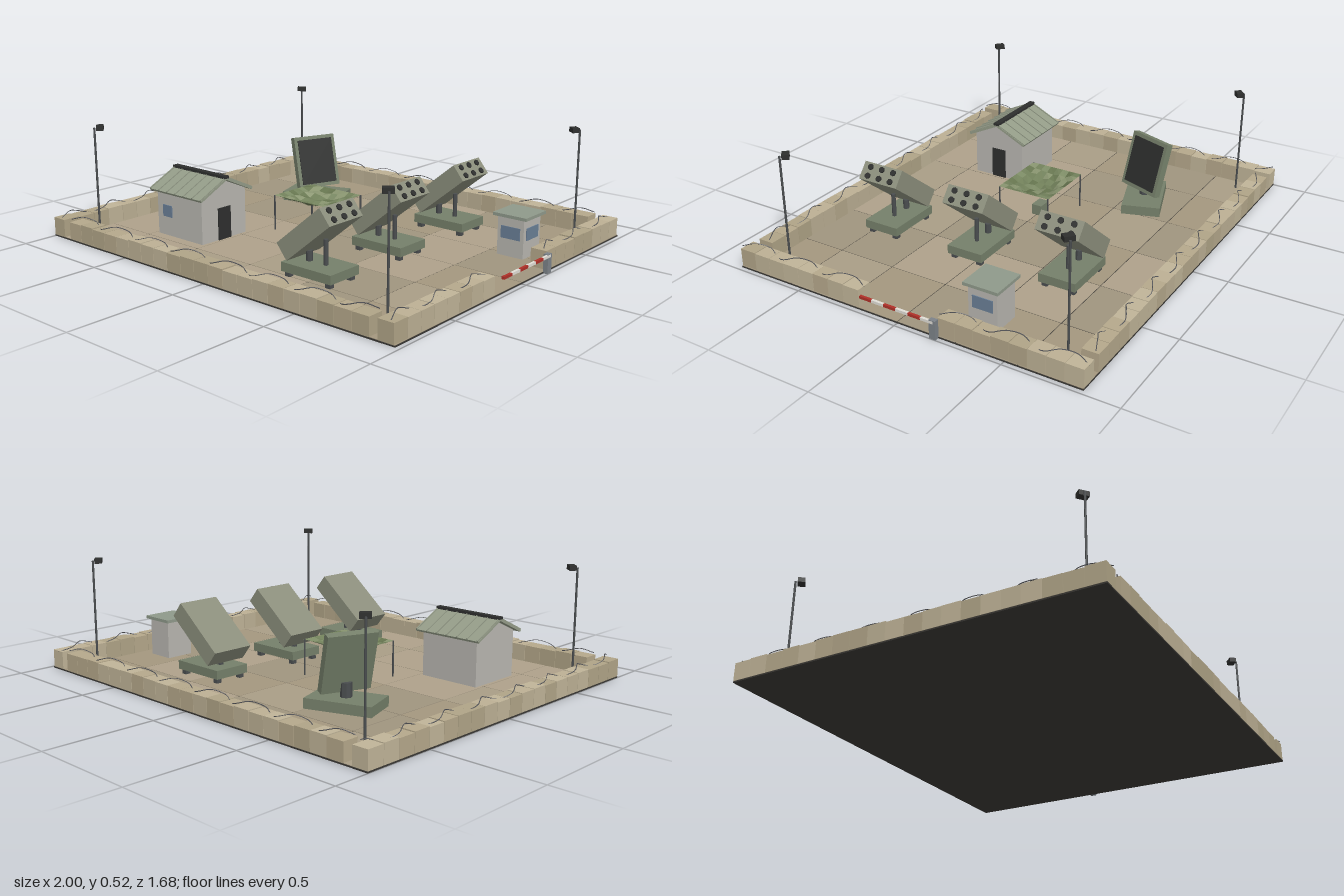
import * as THREE from 'three';

const mat = (color, extra = {}) => new THREE.MeshStandardMaterial({ color, flatShading: true, ...extra });
const M = {
  slab: mat(0x3a3834), green: mat(0x75806a), launcher: mat(0x8b8e7c), dark: mat(0x2e2f2e),
  wall: mat(0xb8b6b0), roof: mat(0x949c88), booth: mat(0x8f998a), glass: mat(0x6a7f96),
  metal: mat(0x4a4d4f), post: mat(0x7c8288), red: mat(0xb03028), white: mat(0xe0ddd6), wire: mat(0x55565a),
};
const tiles = [0xa99d86, 0xa4977f, 0xaea18a, 0xa0957f].map((c) => mat(c));
const sand = [0xbcb094, 0xb5a88b, 0xc0b498, 0xb0a487].map((c) => mat(c));
const camo = [0x71805a, 0x7d8c66, 0x66754f, 0x88946f].map((c) => mat(c, { side: THREE.DoubleSide }));

let seed = 7;
const rnd = () => (seed = (seed * 16807) % 2147483647) / 2147483647;
const pick = (list) => list[Math.floor(rnd() * list.length)];

function add(parent, name, geometry, material, x = 0, y = 0, z = 0) {
  const mesh = new THREE.Mesh(geometry, material);
  mesh.name = name;
  mesh.position.set(x, y, z);
  parent.add(mesh);
  return mesh;
}
const box = (p, name, w, h, d, m, x, y, z) => add(p, name, new THREE.BoxGeometry(w, h, d), m, x, y, z);
const rod = (p, name, r, h, m, x, y, z) => add(p, name, new THREE.CylinderGeometry(r, r, h, 8), m, x, y, z);
function group(parent, name, x = 0, y = 0, z = 0) {
  const g = new THREE.Group();
  g.name = name;
  g.position.set(x, y, z);
  parent.add(g);
  return g;
}

// Dark slab with a 6 x 6 grid of paving tiles
function ground(root) {
  const g = group(root, 'ground', -0.01);
  box(g, 'slab', 1.98, 0.006, 1.68, M.slab, 0, 0.003, 0);
  for (let i = 0; i < 6; i++) for (let j = 0; j < 6; j++) {
    box(g, 'pavingTile', 0.326, 0.007, 0.276, pick(tiles), (i - 2.5) * 0.33, 0.0045, (j - 2.5) * 0.28);
  }
}

// Row of filled barrier blocks with coiled wire on top; built along x, then turned
function wallRow(root, name, length, count, x, z, turn) {
  const g = group(root, name, x, 0, z);
  g.rotation.y = turn;
  const pitch = length / count;
  for (let i = 0; i < count; i++) {
    const h = 0.078 + rnd() * 0.006;
    box(g, 'barrierBlock', pitch * 0.975, h, 0.074, pick(sand), (i + 0.5) * pitch - length / 2, 0.007 + h / 2, 0);
  }
  const steps = Math.round(length / 0.058);
  const points = [];
  for (let i = 0; i <= steps; i++) {
    const a = i * Math.PI / 2;
    points.push(new THREE.Vector3((i / steps - 0.5) * length, 0.098 + 0.015 * Math.sin(a), 0.024 * Math.cos(a)));
  }
  add(g, 'wireCoil', new THREE.TubeGeometry(new THREE.CatmullRomCurve3(points), steps * 4, 0.002, 4), M.wire);
}

// Tilted box launcher on a footed base
function launcher(root, z) {
  const g = group(root, 'launcher', 0.322, 0, z);
  box(g, 'launcherBase', 0.27, 0.04, 0.175, M.green, 0, 0.05, 0);
  for (const sx of [-1, 1]) for (const sz of [-1, 1]) {
    box(g, 'foot', 0.025, 0.028, 0.025, M.metal, sx * 0.11, 0.019, sz * 0.065);
  }
  rod(g, 'supportPost', 0.01, 0.12, M.metal, 0.035, 0.12, 0);
  rod(g, 'rearHinge', 0.014, 0.05, M.metal, -0.055, 0.09, 0);
  const pod = group(g, 'launchPod', 0, 0.215, 0);
  pod.rotation.z = 0.685;
  box(pod, 'podBox', 0.3, 0.085, 0.205, M.launcher);
  for (const y of [-0.021, 0.021]) for (const zz of [-0.062, 0, 0.062]) {
    rod(pod, 'tubeCap', 0.014, 0.008, M.dark, 0.152, y, zz).rotation.z = Math.PI / 2;
  }
}

// Radar with its panel leaning back over a turned base
function radar(root) {
  const g = group(root, 'radar', -0.465, 0, -0.38);
  box(g, 'radarBase', 0.3, 0.045, 0.18, M.green, 0, 0.04, 0).rotation.y = 0.33;
  rod(g, 'radarPost', 0.025, 0.07, M.metal, 0, 0.09, 0);
  const turn = group(g, 'radarHead', -0.01, 0.212, 0);
  turn.rotation.y = -0.36;
  const panel = group(turn, 'radarPanel');
  panel.rotation.z = 0.27;
  box(panel, 'panelFrame', 0.035, 0.26, 0.225, M.green);
  box(panel, 'panelFace', 0.006, 0.225, 0.19, M.dark, 0.018, 0, 0);
}

// Gabled hut
function hut(root) {
  const g = group(root, 'hut', -0.505, 0, 0.377);
  const s = new THREE.Shape();
  s.moveTo(-0.135, 0.005).lineTo(0.135, 0.005).lineTo(0.135, 0.222).lineTo(0, 0.283).lineTo(-0.135, 0.222);
  const body = new THREE.ExtrudeGeometry(s, { depth: 0.295, bevelEnabled: false });
  body.translate(0, 0, -0.1475).rotateY(Math.PI / 2);
  add(g, 'hutBody', body, M.wall);
  const slope = Math.atan2(0.075, 0.157);
  for (const side of [-1, 1]) {
    const r = group(g, 'roofSlope', 0, 0.2545, side * 0.079);
    r.rotation.x = side * slope;
    box(r, 'roofSheet', 0.345, 0.01, 0.174, M.roof);
    for (let i = 0; i <= 6; i++) box(r, 'roofSeam', 0.005, 0.006, 0.174, M.roof, (i - 3) * 0.056, 0.007, 0);
  }
  box(g, 'roofRidge', 0.347, 0.012, 0.028, M.dark, 0, 0.299, 0);
  box(g, 'hutDoor', 0.008, 0.15, 0.075, M.dark, 0.149, 0.082, 0);
  box(g, 'hutWindow', 0.06, 0.055, 0.008, M.glass, -0.08, 0.125, 0.135);
}

// Guard booth by the gate
function booth(root) {
  const g = group(root, 'guardBooth', 0.77, 0, -0.312);
  box(g, 'boothBody', 0.13, 0.18, 0.135, M.wall, 0, 0.095, 0);
  box(g, 'boothRoof', 0.166, 0.014, 0.164, M.booth, 0, 0.191, 0);
  box(g, 'boothWindow', 0.095, 0.055, 0.006, M.glass, 0, 0.115, 0.068);
  box(g, 'boothWindow', 0.006, 0.055, 0.095, M.glass, 0.066, 0.115, 0);
}

// Sagging patchwork net on four poles above a crate
function shelter(root) {
  const g = group(root, 'netShelter', -0.125, 0, -0.002);
  const n = 8, w = 0.31, d = 0.265;
  const height = (u, v) => 0.174 - 0.042 * Math.sin(Math.PI * u) * Math.sin(Math.PI * v)
    + (u % 1 && v % 1 ? 0.006 * Math.sin(u * 37 + v * 23) : 0);
  for (let i = 0; i < n; i++) for (let j = 0; j < n; j++) {
    const patch = new THREE.PlaneGeometry(w / n, d / n).rotateX(-Math.PI / 2);
    patch.translate((i + 0.5) * w / n - w / 2, 0, (j + 0.5) * d / n - d / 2);
    const p = patch.attributes.position;
    for (let k = 0; k < p.count; k++) {
      const u = Math.round((p.getX(k) / w + 0.5) * n) / n, v = Math.round((p.getZ(k) / d + 0.5) * n) / n;
      p.setY(k, height(u, v));
    }
    patch.computeVertexNormals();
    add(g, 'netPatch', patch, pick(camo));
  }
  for (const sx of [-1, 1]) for (const sz of [-1, 1]) {
    rod(g, 'netPole', 0.004, 0.168, M.metal, sx * 0.152, 0.09, sz * 0.129);
  }
  box(g, 'crate', 0.07, 0.05, 0.05, M.green, 0, 0.033, 0);
}

// Lamp masts in the four corners, heads turned inward
function lamps(root) {
  for (const sx of [-1, 1]) for (const sz of [-1, 1]) {
    const g = group(root, 'lampMast', -0.01 + sx * 0.845, 0, sz * 0.695);
    rod(g, 'mast', 0.005, 0.5, M.metal, 0, 0.255, 0);
    const head = box(g, 'lampHead', 0.045, 0.022, 0.032, M.dark, -sx * 0.018, 0.506, -sz * 0.018);
    head.rotation.y = sx * sz * 0.7;
  }
}

// Striped gate bar on a short post
function gate(root) {
  const g = group(root, 'gate', 0.988, 0, 0);
  box(g, 'gatePost', 0.022, 0.085, 0.03, M.post, 0, 0.0425, -0.185);
  for (let i = 0; i < 6; i++) {
    box(g, 'gateBarStripe', 0.012, 0.012, 0.06, i % 2 ? M.white : M.red, 0.006, 0.076, 0.14 - i * 0.06);
  }
}

export function createModel() {
  const root = new THREE.Group();
  root.name = 'fortifiedBase';
  ground(root);
  for (const s of [-1, 1]) wallRow(root, s > 0 ? 'frontWall' : 'backWall', 1.75, 21, -0.01, s * 0.802, 0);
  wallRow(root, 'rightWall', 1.68, 20, -0.963, 0, Math.PI / 2);
  for (const s of [-1, 1]) wallRow(root, 'gateSideWall', 0.645, 8, 0.938, s * 0.5175, Math.PI / 2);
  for (const z of [-0.425, 0.035, 0.49]) launcher(root, z);
  radar(root);
  hut(root);
  booth(root);
  shelter(root);
  lamps(root);
  gate(root);
  return root;
}
